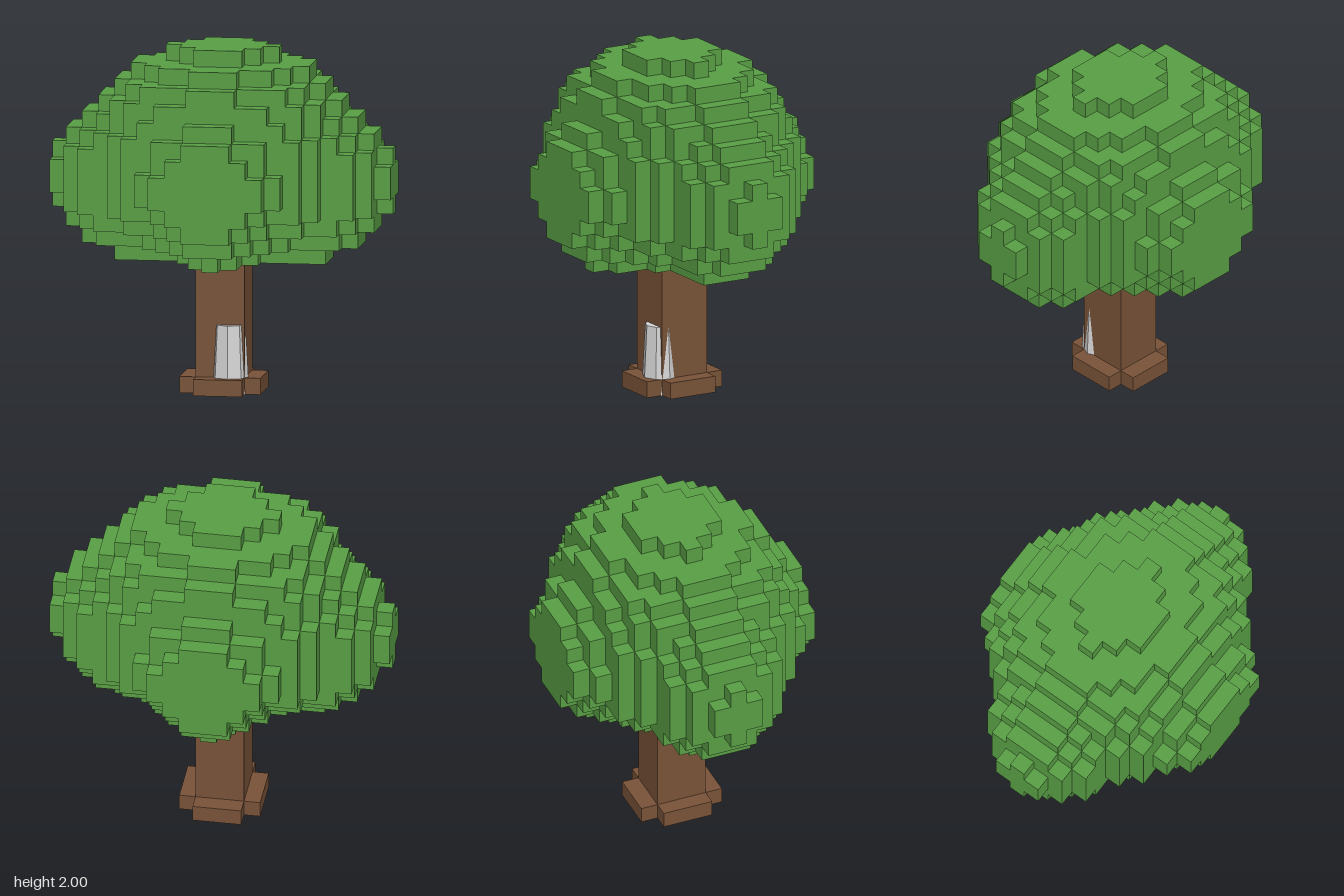
import * as THREE from 'three';

const green = new THREE.MeshStandardMaterial({ color: 0x599f45 });
green.name = 'leaf green';
const brown = new THREE.MeshStandardMaterial({ color: 0x795338 });
brown.name = 'bark brown';
const grey = new THREE.MeshStandardMaterial({ color: 0xd4d4d4, flatShading: true });
grey.name = 'stone grey';

// Size of one block of the grid
const CELL = { x: 0.0938, y: 2 / 21, z: 0.1 };
const inEllipsoid = (x, y, z, a, b, c) => (x / a) ** 2 + (y / b) ** 2 + (z / c) ** 2 <= 1;

// Crown: domed cap, core and four lobes on the axes, in block units; flat at front and back
function isLeaf(i, j, k) {
  const y = j - 12.5, x = Math.abs(i), z = Math.abs(k);
  if (j < 8 || j > 20 || x > 10 || z > 7) return false;
  if (y > 4 && inEllipsoid(x, y, z, 8.9, 8.02, 7)) return true;
  if (y < 4 && inEllipsoid(x, y, z, 8.2, y > 0 ? 7.9 : 4.9, 6.95)) return true;
  return inEllipsoid(x - 5, y, z, 5.3, 4.75, 4.2) || inEllipsoid(x, y, z - 3.5, 4.4, 4.75, 4.85);
}

// Emit only the outer faces of the blocks
function crownGeometry() {
  const pos = [], nor = [], idx = [];
  const size = [CELL.x, CELL.y, CELL.z];
  for (let i = -10; i <= 10; i++) for (let j = 8; j <= 20; j++) for (let k = -7; k <= 7; k++) {
    if (!isLeaf(i, j, k)) continue;
    const centre = [i, j + 0.5, k];
    for (let axis = 0; axis < 3; axis++) for (const s of [-1, 1]) {
      const n = [0, 0, 0];
      n[axis] = s;
      if (isLeaf(i + n[0], j + n[1], k + n[2])) continue;
      const u = (axis + 1) % 3, v = (axis + 2) % 3, first = pos.length / 3;
      for (const [p, q] of [[-1, -1], [1, -1], [1, 1], [-1, 1]]) {
        const c = centre.slice();
        c[axis] += s / 2;
        c[u] += (p * s) / 2;
        c[v] += q / 2;
        pos.push(...c.map((value, d) => value * size[d]));
        nor.push(...n);
      }
      idx.push(first, first + 1, first + 2, first, first + 2, first + 3);
    }
  }
  const geo = new THREE.BufferGeometry();
  geo.setAttribute('position', new THREE.Float32BufferAttribute(pos, 3));
  geo.setAttribute('normal', new THREE.Float32BufferAttribute(nor, 3));
  geo.setIndex(idx);
  return geo;
}

export function createModel() {
  const tree = new THREE.Group();
  tree.name = 'tree';
  const add = (name, geo, mat, x = 0, y = 0, z = 0) => {
    const mesh = new THREE.Mesh(geo, mat);
    mesh.name = name;
    mesh.position.set(x, y, z);
    tree.add(mesh);
  };

  add('crown', crownGeometry(), green);

  // Square trunk
  const trunkH = 7 * CELL.y;
  add('trunk', new THREE.BoxGeometry(3 * CELL.x, trunkH, 0.3), brown, 0, CELL.y + trunkH / 2, 0);

  // Cross-shaped root base
  const a = 1.5 * CELL.x, b = 2.5 * CELL.x, c = 0.15, d = 0.25;
  const cross = new THREE.Shape([
    [-a, -d], [a, -d], [a, -c], [b, -c], [b, c], [a, c],
    [a, d], [-a, d], [-a, c], [-b, c], [-b, -c], [-a, -c],
  ].map(([x, y]) => new THREE.Vector2(x, y)));
  const base = new THREE.ExtrudeGeometry(cross, { depth: CELL.y, bevelEnabled: false });
  base.rotateX(-Math.PI / 2);
  add('rootBase', base, brown);

  // Tapered eight-sided stone sunk into the front left corner of the trunk, showing under the base
  add('stone', new THREE.CylinderGeometry(0.09, 0.111, 0.401, 8), grey, 0.051, 0.1995, 0.107);

  return tree;
}
